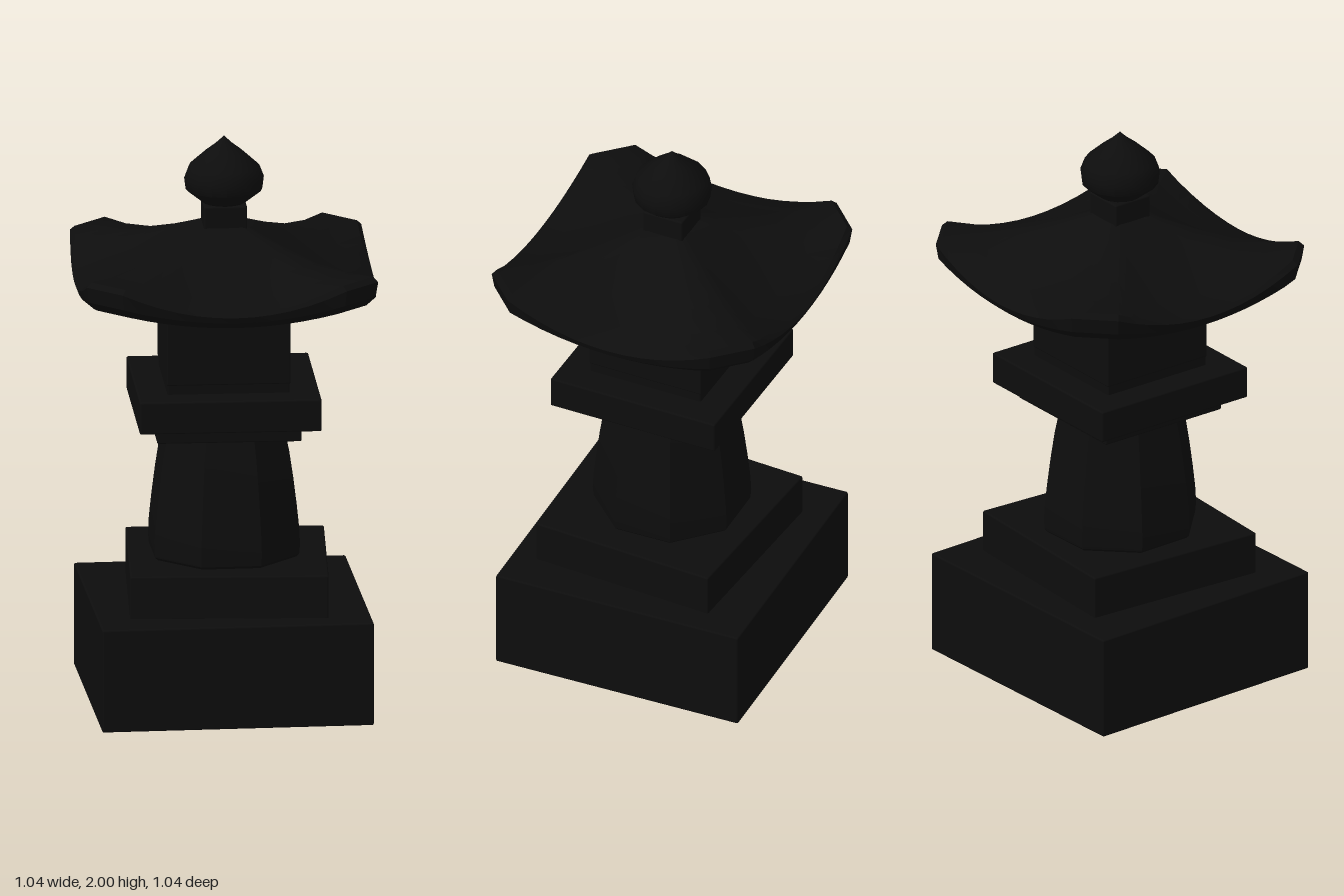
import * as THREE from 'three';
import { toCreasedNormals } from 'three/addons/utils/BufferGeometryUtils.js';
import { RoundedBoxGeometry } from 'three/addons/geometries/RoundedBoxGeometry.js';

const stone = new THREE.MeshStandardMaterial({ color: 0x0d0d0d });
stone.name = 'dark stone';

function add(group, name, geometry) {
  const mesh = new THREE.Mesh(geometry, stone);
  mesh.name = name;
  group.add(mesh);
  return mesh;
}

// Block with softened edges, between two heights, with a slight turn
function block(group, name, width, depth, y0, y1, turn = 0, x = 0, z = 0) {
  const geometry = new RoundedBoxGeometry(width, y1 - y0, depth, 2, 0.006);
  const mesh = add(group, name, geometry);
  mesh.position.set(x, (y0 + y1) / 2, z);
  mesh.rotation.y = turn;
}

// Plan outline of the roof: bowed sides and cut corners; lift is 1 at the corners
function roofOutline() {
  const steps = 12, outline = [];
  for (let side = 0; side < 4; side++) {
    const angle = side * Math.PI / 2, c = Math.cos(angle), s = Math.sin(angle);
    for (let i = 0; i <= steps; i++) {
      const u = i / steps * 2 - 1;
      const out = 0.518 - 0.014 * u * u, along = 0.388 * u;
      outline.push({ x: out * c - along * s, z: out * s + along * c, lift: u * u });
    }
  }
  return outline;
}

// Roof skin: rings of [scale, height at mid side, corner lift], from crown to underside
function roofGeometry() {
  const rings = [
    [0, 1.70, 0], [0.13, 1.692, 0.002], [0.25, 1.661, 0.006], [0.4, 1.62, 0.015],
    [0.6, 1.565, 0.035], [0.8, 1.523, 0.061], [0.97, 1.496, 0.09], [1, 1.485, 0.085],
    [0.985, 1.465, 0.05], [0.925, 1.44, 0.04], [0.7, 1.438, 0.015], [0.42, 1.438, 0], [0, 1.438, 0],
  ];
  const outline = roofOutline(), n = outline.length;
  const positions = [], index = [];
  rings.forEach(([scale, y, lift], r) => {
    outline.forEach((p, j) => {
      positions.push(p.x * scale, y + lift * p.lift, p.z * scale);
      if (r === rings.length - 1) return;
      const a = r * n + j, b = r * n + (j + 1) % n;
      if (r > 0) index.push(a, b, a + n);
      if (r < rings.length - 2) index.push(b, b + n, a + n);
    });
  });
  const geometry = new THREE.BufferGeometry();
  geometry.setAttribute('position', new THREE.Float32BufferAttribute(positions, 3));
  geometry.setIndex(index);
  return toCreasedNormals(geometry, 0.5);
}

function lathe(points, sides) {
  return new THREE.LatheGeometry(points.map(([r, y]) => new THREE.Vector2(r, y)), sides);
}

export function createModel() {
  const group = new THREE.Group();
  group.name = 'stoneLantern';

  // Stepped base, each step set a little askew
  block(group, 'base', 0.943, 0.914, 0, 0.365, 0.033);
  block(group, 'plinth', 0.686, 0.676, 0.36, 0.515, -0.05, 0.01, 0.005);

  // Eight-sided swelling post
  const k = 1 / Math.cos(Math.PI / 8);
  const profile = [[0.235, 0.51], [0.25, 0.525], [0.253, 0.56], [0.25, 0.62],
    [0.242, 0.7], [0.23, 0.8], [0.217, 0.89], [0.2, 0.975]];
  const post = add(group, 'post', toCreasedNormals(lathe(profile.map(([r, y]) => [r * k, y]), 8), 0.5));
  post.rotation.y = Math.PI / 8 + 0.03;

  // Platform
  block(group, 'platformUnderside', 0.5, 0.5, 0.968, 1.025);
  block(group, 'platform', 0.63, 0.63, 1.02, 1.134);

  // Fire box with its sill and head band
  block(group, 'fireBoxSill', 0.424, 0.424, 1.125, 1.172);
  block(group, 'fireBox', 0.43, 0.43, 1.165, 1.418);
  block(group, 'fireBoxHead', 0.424, 0.424, 1.41, 1.45);

  // Upswept roof
  add(group, 'roof', roofGeometry());

  // Finial
  block(group, 'finialNeck', 0.15, 0.15, 1.66, 1.765);
  add(group, 'finial', toCreasedNormals(lathe([[0, 1.758], [0.07, 1.762], [0.133, 1.812], [0.138, 1.853],
    [0.123, 1.893], [0.065, 1.945], [0.03, 1.972], [0, 2]], 16), 0.8));

  return group;
}
